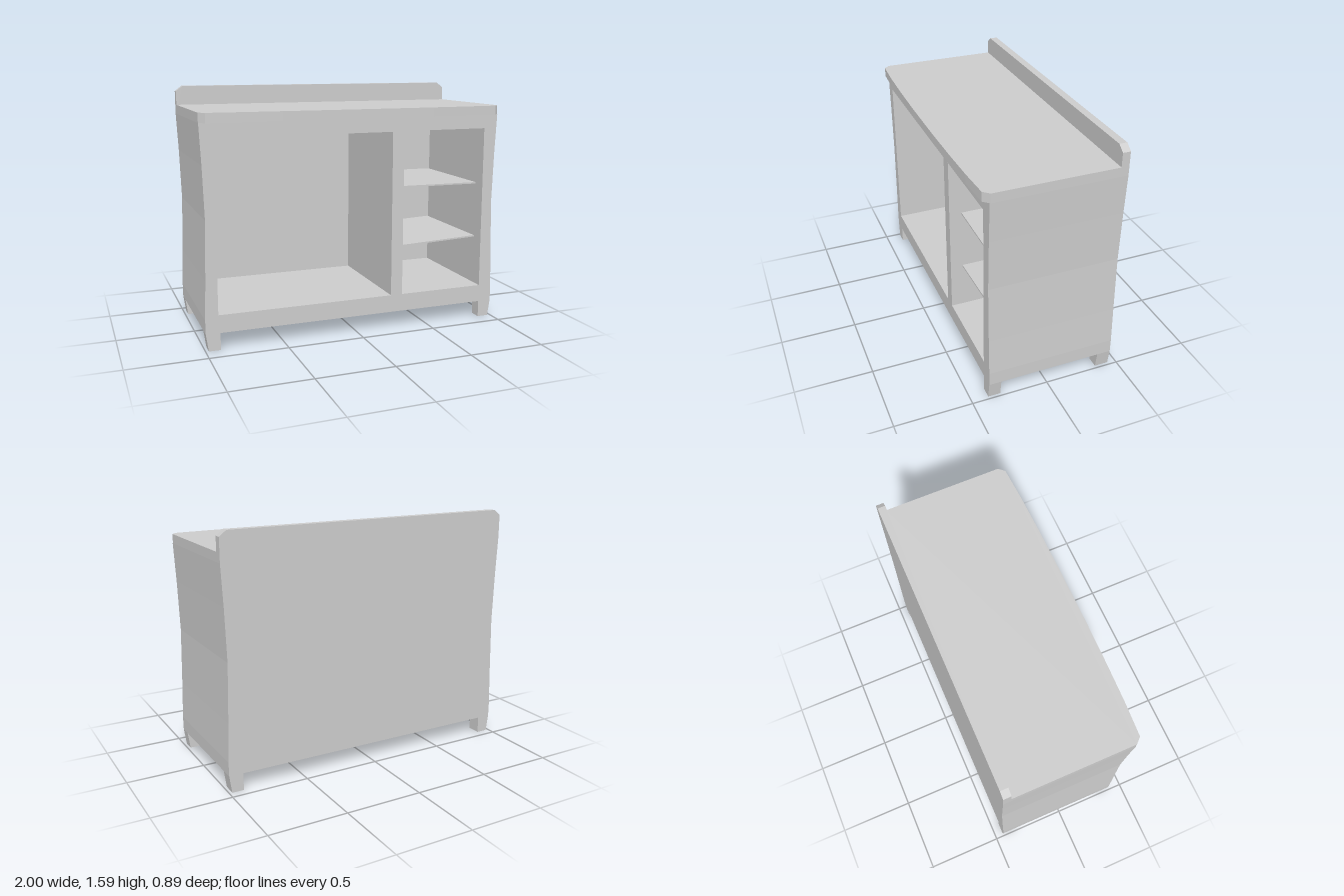
import * as THREE from 'three';

const FRONT = 0.39, BACK = -0.445, BACK_IN = -0.395;
const BASE = 0.11, TOP = 1.46, LIP = 1.40;

// Right-hand silhouette from base to underside of the worktop: gently waisted
const WAIST = [[0.996, BASE], [0.997, 0.2], [0.988, 0.45], [0.978, 0.82], [0.988, 1.15], [1, LIP]];

// Closed shape mirrored about x = 0 from its right-hand points (bottom to top)
function mirrored(points) {
  const left = points.map(([x, y]) => [-x, y]).reverse();
  return new THREE.Shape([...points, ...left].map(([x, y]) => new THREE.Vector2(x, y)));
}

function opening(x0, x1, y0, y1) {
  return new THREE.Path([[x0, y0], [x0, y1], [x1, y1], [x1, y0]].map(([x, y]) => new THREE.Vector2(x, y)));
}

// Extrudes a front-facing shape between two depths
function slab(shape, z0, z1) {
  const g = new THREE.ExtrudeGeometry(shape, { depth: z1 - z0, bevelEnabled: false });
  return g.translate(0, 0, z0);
}

export function createModel() {
  const group = new THREE.Group();
  const material = new THREE.MeshStandardMaterial({ color: 0xcccccc, flatShading: true });
  const add = (name, geometry) => {
    const mesh = new THREE.Mesh(geometry, material);
    mesh.name = name;
    group.add(mesh);
    return mesh;
  };

  // Carcass with one wide and one narrow compartment
  const body = mirrored(WAIST);
  body.holes.push(opening(-0.915, 0.24, 0.225, 1.308), opening(0.32, 0.905, 0.225, 1.31));
  add('carcass', slab(body, BACK_IN, FRONT));

  // Back panel rising above the worktop with clipped corners
  add('backPanel', slab(mirrored([...WAIST, [1, 1.55], [0.955, 1.585]]), BACK, BACK_IN));

  // Worktop with a softly bowed, overhanging front edge
  const plan = mirrored([[1, BACK_IN], [1, 0.385], [0.965, 0.422], [0.75, 0.434], [0.5, 0.441], [0.2, 0.445]]);
  const worktop = new THREE.ExtrudeGeometry(plan, { depth: TOP - LIP, bevelEnabled: false });
  worktop.rotateX(Math.PI / 2).translate(0, TOP, 0);
  add('worktop', worktop);

  // Two thin shelves, each slightly askew
  for (const [name, leftY, rightY] of [['upperShelf', 0.935, 0.93], ['lowerShelf', 0.533, 0.558]]) {
    const x0 = 0.32, x1 = 0.9, t = 0.005;
    const section = new THREE.Shape([
      new THREE.Vector2(x0, leftY - t), new THREE.Vector2(x1, rightY - t),
      new THREE.Vector2(x1, rightY + t), new THREE.Vector2(x0, leftY + t),
    ]);
    add(name, slab(section, BACK_IN, 0.31));
  }

  // Four short feet, tapering on the outside
  for (const side of [-1, 1]) {
    const foot = new THREE.Shape([[0.905, 0], [0.98, 0], [0.996, BASE], [0.905, BASE]]
      .map(([x, y]) => new THREE.Vector2(side * x, y)));
    const label = side > 0 ? 'left' : 'right';
    add(label + 'FrontFoot', slab(foot, 0.31, FRONT));
    add(label + 'BackFoot', slab(foot, BACK, -0.355));
  }

  return group;
}
